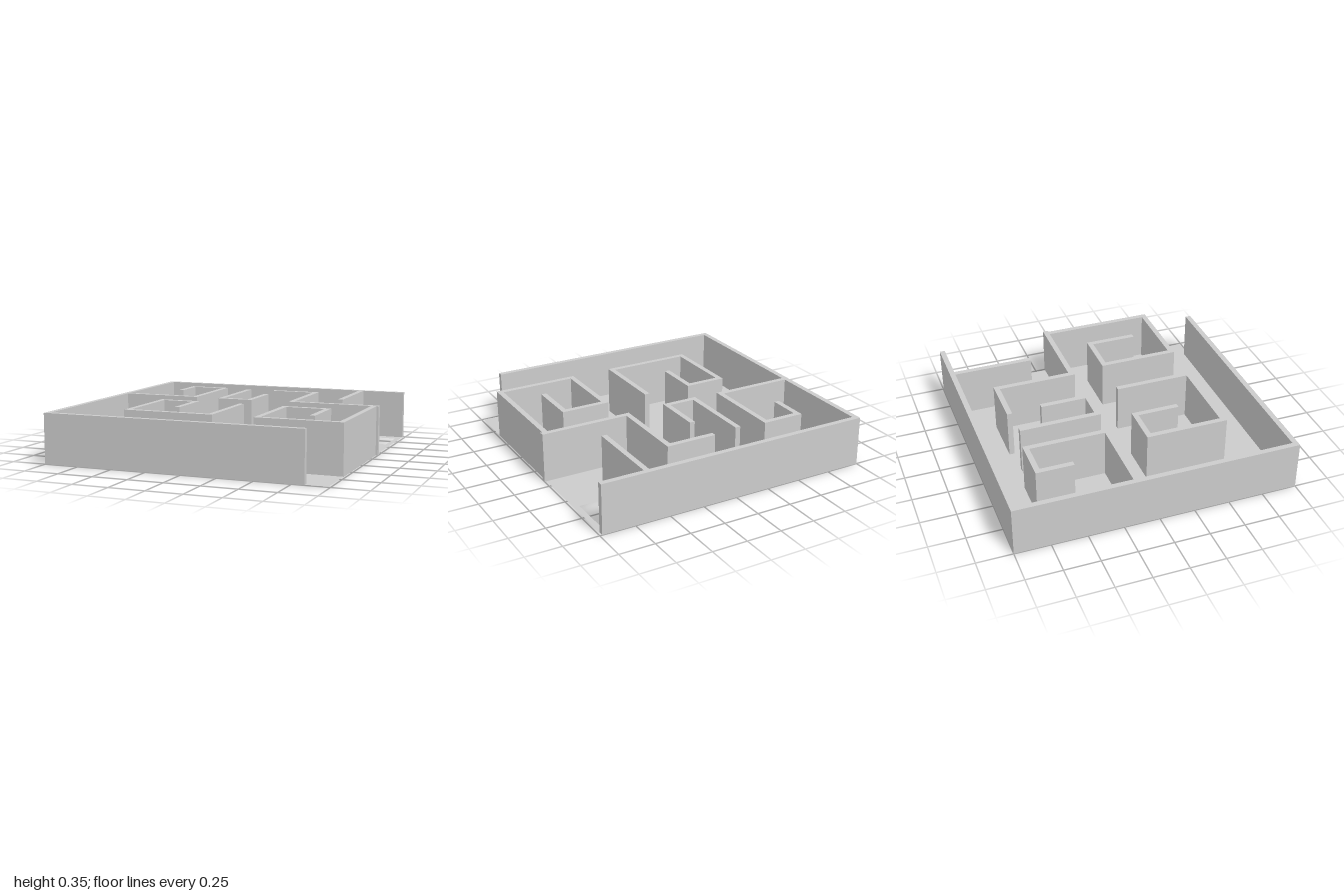
import * as THREE from 'three';

const HEIGHT = 0.35;
const THICK = 0.038;

// Closed outline of a wall of constant thickness along a right-angled centre line
function wallOutline(points) {
  const pts = points.map(([x, z]) => new THREE.Vector2(x, z));
  const left = [], right = [];
  pts.forEach((p, i) => {
    const a = pts[Math.max(i - 1, 0)], b = pts[Math.min(i + 1, pts.length - 1)];
    const offset = new THREE.Vector2();
    const normal = (from, to) => {
      const d = to.clone().sub(from).normalize();
      return new THREE.Vector2(-d.y, d.x);
    };
    // At a right-angled corner the mitre is the sum of both normals
    if (i > 0) offset.add(normal(a, p));
    if (i < pts.length - 1) offset.add(normal(p, b));
    offset.multiplyScalar(THICK / 2);
    left.push(p.clone().add(offset));
    right.unshift(p.clone().sub(offset));
  });
  return new THREE.Shape([...left, ...right]);
}

export function createModel() {
  const model = new THREE.Group();
  model.name = 'maze';
  const material = new THREE.MeshStandardMaterial({ color: 0xcccccc, flatShading: true });

  // Centre lines in x, z
  const walls = {
    outerWall: [[0.983, -0.981], [-0.981, -0.981], [-0.981, 0.981], [0.835, 0.981]],
    backLeftHook: [[-0.962, -0.158], [-0.405, -0.158], [-0.405, -0.73], [-0.671, -0.73], [-0.671, -0.482]],
    backMiddleHook: [[-0.19, -0.713], [-0.19, -0.147], [0.034, -0.147], [0.034, -0.493]],
    backRightWall: [[0.01, -0.725], [0.353, -0.725], [0.353, -0.158], [1, -0.158]],
    backSpur: [[0.65, -0.962], [0.65, -0.385]],
    frontLeftSpiral: [[0.06, 0.09], [0.06, 0.645], [-0.554, 0.645], [-0.554, 0.093], [-0.291, 0.093], [-0.291, 0.413]],
    frontRightSpiral: [[0.966, -0.139], [0.966, 0.65], [0.393, 0.65], [0.393, 0.11], [0.707, 0.11], [0.707, 0.46]],
  };
  for (const [name, line] of Object.entries(walls)) {
    const geometry = new THREE.ExtrudeGeometry(wallOutline(line), { depth: HEIGHT, bevelEnabled: false });
    geometry.rotateX(Math.PI / 2).translate(0, HEIGHT, 0);
    const mesh = new THREE.Mesh(geometry, material);
    mesh.name = name;
    model.add(mesh);
  }

  // Thin floor sheet with a rectangular opening
  const rect = (x0, x1, z0, z1) => [[x0, z0], [x1, z0], [x1, z1], [x0, z1]].map(([x, z]) => new THREE.Vector2(x, z));
  const floorShape = new THREE.Shape(rect(-0.995, 0.985, -0.995, 0.99));
  floorShape.holes.push(new THREE.Path(rect(0.705, 0.945, -0.88, -0.6)));
  const floorMaterial = material.clone();
  floorMaterial.side = THREE.DoubleSide;
  const floor = new THREE.Mesh(new THREE.ShapeGeometry(floorShape).rotateX(Math.PI / 2), floorMaterial);
  floor.position.y = 0.002;
  floor.name = 'floor';
  model.add(floor);

  return model;
}
